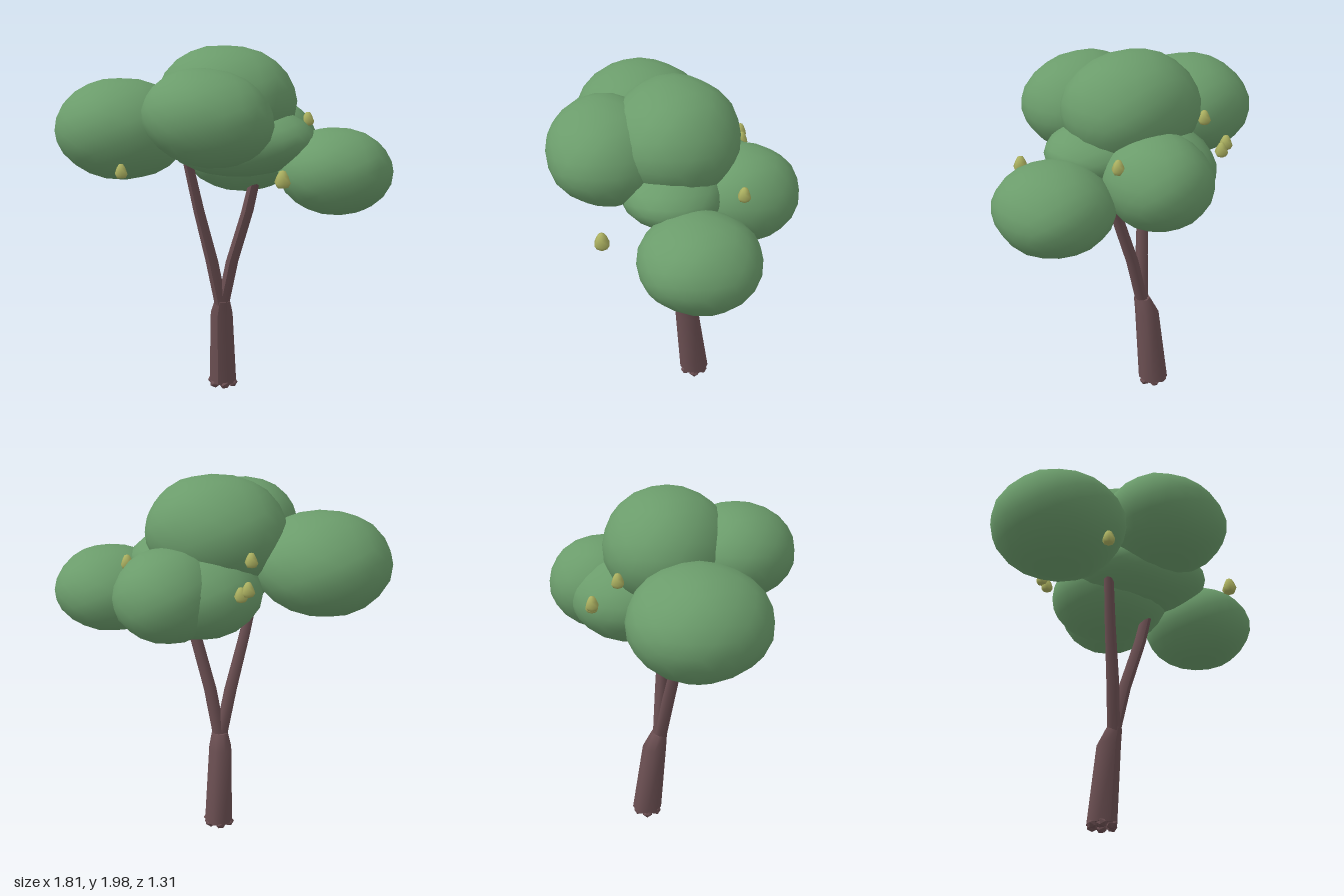
import * as THREE from 'three';
import { mergeVertices } from 'three/addons/utils/BufferGeometryUtils.js';

const material = (name, color) => {
  const m = new THREE.MeshStandardMaterial({ color });
  m.name = name;
  return m;
};

// Tapered limb through rings given as [x, y, z, radius], from bottom to top
function limbGeometry(rings, sides) {
  const steps = rings.length - 1;
  const geo = new THREE.CylinderGeometry(1, 1, 1, sides, steps);
  const pos = geo.attributes.position;
  for (let i = 0; i < pos.count; i++) {
    const [x, y, z, r] = rings[Math.round((pos.getY(i) + 0.5) * steps)];
    pos.setXYZ(i, x + pos.getX(i) * r, y, z + pos.getZ(i) * r);
  }
  geo.computeVertexNormals();
  return geo;
}

// Faceted ball with smooth normals and gentle swells
function leafGeometry() {
  let geo = new THREE.IcosahedronGeometry(1, 3);
  geo.deleteAttribute('uv');
  geo.deleteAttribute('normal');
  geo = mergeVertices(geo, 1e-4);
  const pos = geo.attributes.position;
  const v = new THREE.Vector3();
  for (let i = 0; i < pos.count; i++) {
    v.fromBufferAttribute(pos, i);
    v.multiplyScalar(1 + 0.015 * Math.sin(5 * v.x + 1) * Math.cos(4 * v.z + 3 * v.y));
    pos.setXYZ(i, v.x, v.y, v.z);
  }
  geo.computeVertexNormals();
  return geo;
}

export function createModel() {
  const tree = new THREE.Group();
  tree.name = 'tree';
  const bark = material('bark brown', 0x6b4f52);
  const leaf = material('leaf green', 0x6b9c6b);
  const fruit = material('fruit yellow green', 0xabb060);

  const add = (name, geo, mat, position = [0, 0, 0], scale = [1, 1, 1], tilt = 0) => {
    const mesh = new THREE.Mesh(geo, mat);
    mesh.name = name;
    mesh.position.set(...position);
    mesh.scale.set(...scale);
    mesh.rotation.z = tilt;
    tree.add(mesh);
    return mesh;
  };

  // Leaning trunk and its two branches
  add('trunk', limbGeometry([
    [-0.06, 0.04, -0.135, 0.083],
    [-0.05, 0.47, -0.088, 0.067],
    [-0.036, 0.555, -0.062, 0.046],
  ], 8), bark);
  add('rightBranch', limbGeometry([
    [-0.042, 0.53, -0.055, 0.036],
    [-0.08, 0.8, -0.01, 0.036],
    [-0.135, 1.1, 0.045, 0.031],
    [-0.185, 1.42, 0.1, 0.027],
  ], 7), bark);
  add('leftBranch', limbGeometry([
    [-0.035, 0.53, -0.065, 0.036],
    [0.025, 0.8, -0.052, 0.036],
    [0.12, 1.1, -0.035, 0.034],
    [0.18, 1.35, -0.025, 0.03],
  ], 7), bark);

  // Ring of knobbly roots
  const rootGeo = new THREE.IcosahedronGeometry(0.03, 0);
  for (let i = 0; i < 6; i++) {
    const a = (i / 6) * Math.PI * 2;
    const root = add('root', rootGeo, bark,
      [-0.06 + 0.06 * Math.cos(a), 0.037, -0.132 + 0.055 * Math.sin(a)], [1.05, 0.95, 1.05]);
    root.rotation.y = a;
  }

  // Foliage clumps: name, centre, radii, tilt
  const leafGeo = leafGeometry();
  [
    ['topFoliage', [0.005, 1.705, -0.015], [0.385, 0.295, 0.34], 0],
    ['frontFoliage', [0.037, 1.66, 0.345], [0.345, 0.25, 0.31], -0.12],
    ['rightFoliage', [-0.54, 1.545, 0.145], [0.365, 0.275, 0.367], 0],
    ['leftFoliage', [0.595, 1.343, -0.1], [0.308, 0.232, 0.315], 0],
    ['backFoliage', [0.13, 1.435, -0.36], [0.28, 0.245, 0.295], 0],
    ['middleFoliage', [0.1, 1.49, 0.01], [0.41, 0.185, 0.29], 0.08],
    ['lowerFoliage', [0.03, 1.42, -0.2], [0.34, 0.24, 0.34], 0],
  ].forEach(([name, centre, radii, tilt]) => add(name, leafGeo, leaf, centre, radii, tilt));

  // Small teardrop fruits
  const fruitGeo = new THREE.LatheGeometry([
    [0, -0.04], [0.03, -0.036], [0.043, -0.012], [0.03, 0.022], [0.016, 0.046], [0, 0.05],
  ].map(([r, y]) => new THREE.Vector2(r, y)), 6);
  [
    [0.447, 1.375, 0.377],
    [-0.41, 1.37, 0.44],
    [0.37, 1.575, -0.335],
    [-0.29, 1.64, -0.26],
    [-0.325, 1.53, -0.39],
    [-0.288, 1.5, -0.395],
  ].forEach((p, i) => {
    const s = i === 0 ? 1 : 0.85;
    add('fruit', fruitGeo, fruit, p, [s, s, s]).rotation.y = Math.PI / 6;
  });

  return tree;
}
